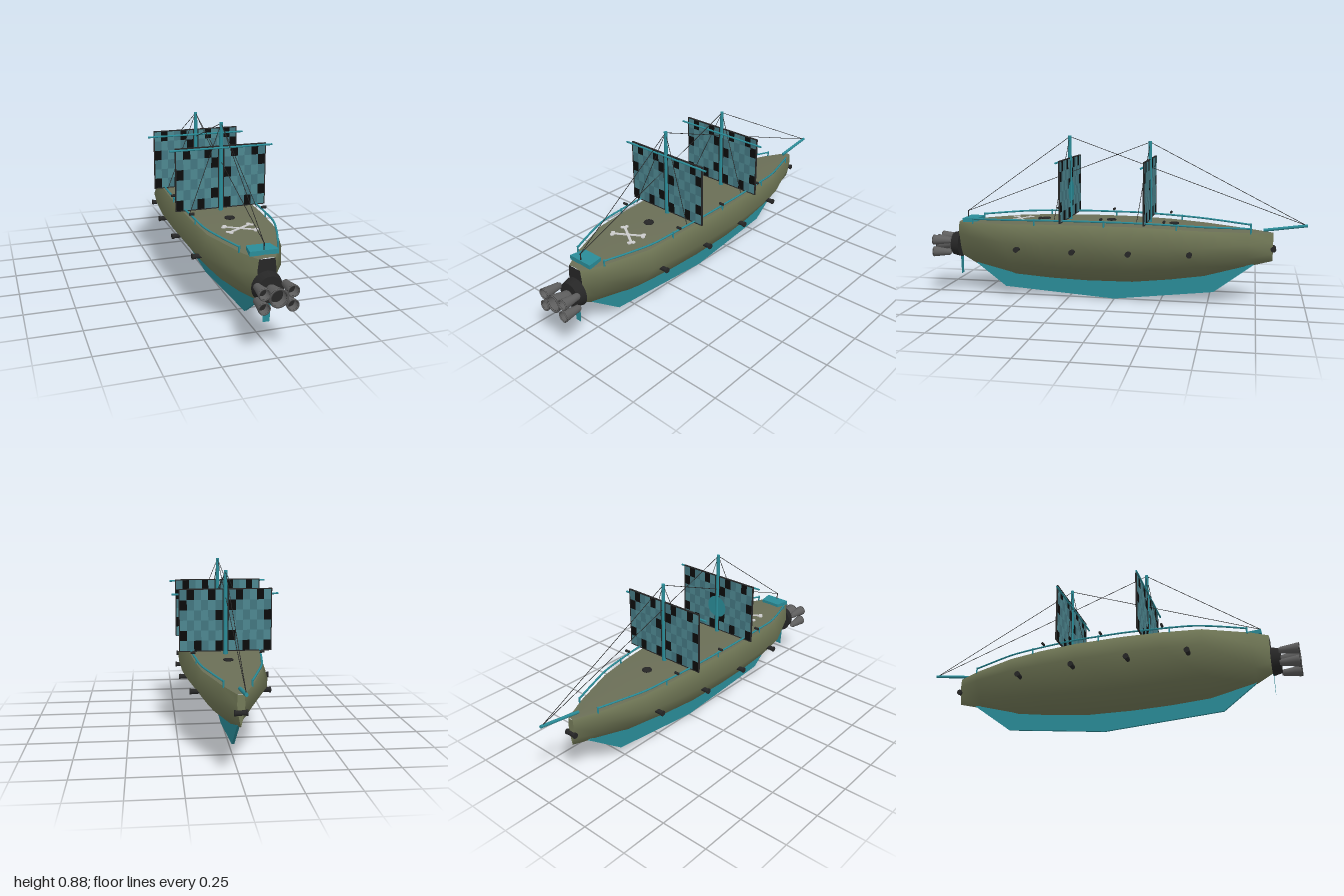
import * as THREE from 'three';
import { mergeGeometries } from 'three/addons/utils/BufferGeometryUtils.js';

const mat = (color, side = THREE.FrontSide) => new THREE.MeshStandardMaterial({ color, side });
const OLIVE = mat(0x737a58), DECK = mat(0x6a6e56), TEAL = mat(0x2a8c98), DARK = mat(0x262626);
const TEAL2 = mat(0x2a8c98, THREE.DoubleSide), STEEL = mat(0x5e5e5e, THREE.DoubleSide), BONE = mat(0xcccccc);
const V = (x, y, z) => new THREE.Vector3(x, y, z);

// Hull stations from bow to stern: z, half beam, keel y, deck y
const STATIONS = [
  [-0.83, 0.018, 0.24, 0.385], [-0.7, 0.084, 0.205, 0.395], [-0.48, 0.168, 0.142, 0.408],
  [-0.3, 0.198, 0.115, 0.418], [-0.1, 0.217, 0.093, 0.425], [0.15, 0.223, 0.09, 0.426],
  [0.35, 0.217, 0.096, 0.424], [0.55, 0.2, 0.11, 0.418], [0.78, 0.1, 0.165, 0.405], [0.86, 0.045, 0.21, 0.4],
];

// Station interpolated at any z
function stationAt(z) {
  let i = 0;
  while (i < STATIONS.length - 2 && z > STATIONS[i + 1][0]) i++;
  const a = STATIONS[i], b = STATIONS[i + 1], t = (z - a[0]) / (b[0] - a[0]);
  return a.map((v, k) => v + (b[k] - v) * t);
}
const deckEdge = (z, lift = 0) => { const s = stationAt(z); return V(0.84 * s[1], s[3] + lift, z); };

// Section from the +x deck edge, round the keel, to the -x deck edge
function section([z, w, yk, yd]) {
  const h = yd - yk;
  const half = [[0.84 * w, yd], [w, yk + 0.69 * h], [0.52 * w, yk + 0.27 * h]];
  return [...half, [0, yk], ...half.map(([x, y]) => [-x, y]).reverse()].map(([x, y]) => V(x, y, z));
}

// Skin over rows of points
function loft(rows) {
  const n = rows[0].length, index = [];
  for (let r = 0; r < rows.length - 1; r++) for (let i = 0; i < n - 1; i++) {
    const a = r * n + i, b = a + 1, c = a + n, d = c + 1;
    index.push(a, c, b, b, c, d);
  }
  const g = new THREE.BufferGeometry().setFromPoints(rows.flat());
  g.setIndex(index);
  g.computeVertexNormals();
  return g;
}

// Straight rod between two points
function rod(a, b, r, sides = 8) {
  const d = b.clone().sub(a);
  const g = new THREE.CylinderGeometry(r, r, d.length(), sides);
  g.applyQuaternion(new THREE.Quaternion().setFromUnitVectors(V(0, 1, 0), d.normalize()));
  return g.translate(...a.clone().add(b).multiplyScalar(0.5).toArray());
}

export function createModel() {
  const model = new THREE.Group();
  const add = (name, geo, material, parent = model) => {
    const m = new THREE.Mesh(Array.isArray(geo) ? mergeGeometries(geo) : geo, material);
    m.name = name;
    parent.add(m);
    return m;
  };

  // Hull, deck and end caps
  add('hull', loft(STATIONS.map(section)), OLIVE);
  add('deck', loft(STATIONS.map(([z, w, , yd]) => [V(-0.84 * w, yd, z), V(0, yd + 0.004, z), V(0.84 * w, yd, z)])), DECK);
  const cap = (s) => new THREE.ShapeGeometry(new THREE.Shape(section(s).map((p) => new THREE.Vector2(p.x, p.y)))).translate(0, 0, s[0]);
  add('transom', cap(STATIONS[STATIONS.length - 1]), DARK);
  add('bowCap', cap(STATIONS[0]).rotateY(Math.PI).translate(0, 0, 2 * STATIONS[0][0]), OLIVE);

  // Keel plate, drawn in the side plane
  const keelShape = new THREE.Shape([[0.78, 0.17], [0.61, 0.042], [0, 0], [-0.53, 0.062], [-0.74, 0.22], [0, 0.15]]
    .map(([z, y]) => new THREE.Vector2(-z, y)));
  add('keel', new THREE.ExtrudeGeometry(keelShape, { depth: 0.012, bevelEnabled: false })
    .rotateY(Math.PI / 2).translate(-0.006, 0, 0), TEAL);

  // Stern fin and stern platform
  const fin = new THREE.Shape([[-0.016, 0.105], [0.016, 0.105], [0.022, 0.21], [-0.022, 0.21]].map((p) => new THREE.Vector2(...p)));
  add('sternFin', new THREE.ShapeGeometry(fin).translate(0, 0, 0.863), TEAL2);
  const platform = new THREE.BoxGeometry(0.136, 0.022, 0.08).translate(0, 0.415, 0.787);
  const pp = platform.attributes.position;
  for (let i = 0; i < pp.count; i++) if (pp.getZ(i) < 0.78) pp.setX(i, pp.getX(i) * 0.82);
  platform.computeVertexNormals();
  add('sternPlatform', platform, TEAL);

  // Engine block with one large and four small nozzles
  const engine = new THREE.Group();
  engine.name = 'engine';
  model.add(engine);
  add('engineBlock', new THREE.CylinderGeometry(0.062, 0.072, 0.045, 24).rotateX(Math.PI / 2).translate(0, 0.273, 0.882), DARK, engine);
  const nozzle = (x, y, r) => {
    const profile = [[0.4, 0], [0.62, 0.01], [0.68, 0.03], [0.95, 0.085], [1, 0.1], [0.82, 0.1], [0.7, 0.06], [0, 0.06]]
      .map(([k, d]) => new THREE.Vector2(k * r, d));
    const g = new THREE.LatheGeometry(profile, 20).rotateX(Math.PI / 2).translate(x, y, 0.9);
    add('nozzle', g, STEEL, engine);
    add('nozzleThroat', new THREE.CircleGeometry(r * 0.72, 20).translate(x, y, 0.965), DARK, engine);
    add('nozzleRim', new THREE.TorusGeometry(r * 0.9, r * 0.1, 6, 20).translate(x, y, 0.996), DARK, engine);
  };
  nozzle(0, 0.275, 0.044);
  for (const x of [-0.065, 0.065]) for (const y of [0.3, 0.235]) nozzle(x, y, 0.028);

  // Side cannons and bow cannons
  const barrel = (x0, x1, y, z) => [
    rod(V(x0, y, z), V(x1, y, z), 0.012, 12),
    rod(V(x1 - Math.sign(x1) * 0.008, y, z), V(x1, y, z), 0.0145, 12),
  ];
  for (const s of [-1, 1]) {
    for (const z of [0.48, 0.18, -0.11, -0.415]) {
      const w = stationAt(z)[1];
      add('sideCannon', barrel(s * (w - 0.035), s * (w + 0.018), 0.293, z), DARK);
    }
    add('bowCannon', barrel(0, s * 0.03, 0.305, -0.832), DARK);

    // Rail with posts and swivel guns
    const pts = [], posts = [];
    for (let k = 0; k <= 12; k++) {
      const z = 0.76 - k * 0.123;
      const p = deckEdge(z, 0.022);
      p.x *= s;
      pts.push(p);
      if (k % 1.5 === 0) posts.push(rod(V(p.x, p.y - 0.028, z), V(p.x, p.y + 0.006, z), 0.0045, 6));
    }
    add('rail', new THREE.TubeGeometry(new THREE.CatmullRomCurve3(pts), 48, 0.005, 6), TEAL);
    add('railPosts', posts, TEAL);
    for (const z of [0.355, 0.035, -0.285]) {
      const p = deckEdge(z, 0.036);
      add('swivelGun', rod(V(s * (p.x - 0.008), p.y, z), V(s * (p.x + 0.016), p.y, z), 0.007, 10), DARK);
    }
  }

  // Deck hatches
  for (const z of [-0.32, 0.015, 0.375]) {
    const y = stationAt(z)[3] + 0.005;
    add('hatch', [new THREE.CylinderGeometry(0.022, 0.022, 0.006, 20).translate(0, y, z),
      new THREE.TorusGeometry(0.022, 0.004, 6, 20).rotateX(Math.PI / 2).translate(0, y + 0.002, z)], DARK);
  }

  // Crossed bones lying on the deck
  const bones = [], boneY = 0.424;
  for (const s of [-1, 1]) {
    const shaft = new THREE.BoxGeometry(0.15, 0.004, 0.013);
    const knobs = [-1, 1].flatMap((e) => [-1, 1].map((f) =>
      new THREE.CylinderGeometry(0.011, 0.011, 0.004, 12).translate(e * 0.077, 0, f * 0.0095)));
    bones.push(...[shaft, ...knobs].map((g) => g.rotateY(s * 0.56).translate(0, boneY, 0.52)));
  }
  add('crossedBones', bones, BONE);

  // Masts, yards and checkered sails
  const cellMats = [mat(0x4d8790), mat(0x437680), mat(0x0b0b0b)];
  const darkCells = ['1,0', '4,0', '5,1', '0,2', '5,4', '0,5', '3,5'];
  const masts = [{ z: 0.24, top: 0.875, yard: 0.75, half: 0.265 }, { z: -0.19, top: 0.85, yard: 0.73, half: 0.268 }];
  for (const { z, top, yard, half } of masts) {
    add('mast', new THREE.CylinderGeometry(0.009, 0.012, top - 0.41, 12).translate(0, (top + 0.41) / 2, z), TEAL);
    add('yard', rod(V(-half, yard, z + 0.01), V(half, yard, z + 0.01), 0.005), TEAL);
    const sail = new THREE.Group();
    sail.name = 'sail';
    model.add(sail);
    const cells = [[], [], []], frames = [], cw = 0.0357, ch = 0.0515;
    for (const x0 of [-0.23, 0.016]) {
      for (let c = 0; c < 6; c++) for (let r = 0; r < 6; r++) {
        const kind = darkCells.includes(`${c},${r}`) ? 2 : (c + r) % 2;
        cells[kind].push(new THREE.BoxGeometry(cw, ch, 0.006).translate(x0 + (c + 0.5) * cw, 0.754 - (r + 0.5) * ch, z));
      }
      const w = 6 * cw, h = 6 * ch, cx = x0 + w / 2, cy = 0.754 - h / 2;
      for (const s of [-1, 1]) {
        frames.push(new THREE.BoxGeometry(w + 0.01, 0.005, 0.008).translate(cx, cy + s * (h / 2 + 0.0025), z));
        frames.push(new THREE.BoxGeometry(0.005, h, 0.008).translate(cx + s * (w / 2 + 0.0025), cy, z));
      }
    }
    cells.forEach((g, i) => add('sailCells', g, cellMats[i], sail));
    add('sailHem', frames, DARK, sail);

    // Stays fore and aft, shrouds to both rails
    const peak = V(0, top - 0.005, z);
    const ends = [V(0, 0.425, 0.82), V(0, 0.43, -0.995), V(0.175, 0.44, z + 0.045), V(-0.175, 0.44, z + 0.045)];
    ends[0].y = 0.458;
    add('rigging', ends.map((e) => rod(peak, e, 0.0016, 5)), DARK);
  }
  add('sailPatch', new THREE.CircleGeometry(0.06, 24).rotateY(Math.PI).translate(0, 0.58, 0.234), TEAL);

  // Bowsprit and stay post
  add('bowsprit', rod(V(0, 0.4, -0.78), V(0, 0.43, -1), 0.008), TEAL);
  add('stayPost', rod(V(0, 0.42, 0.82), V(0, 0.46, 0.82), 0.003, 6), DARK);
  return model;
}
